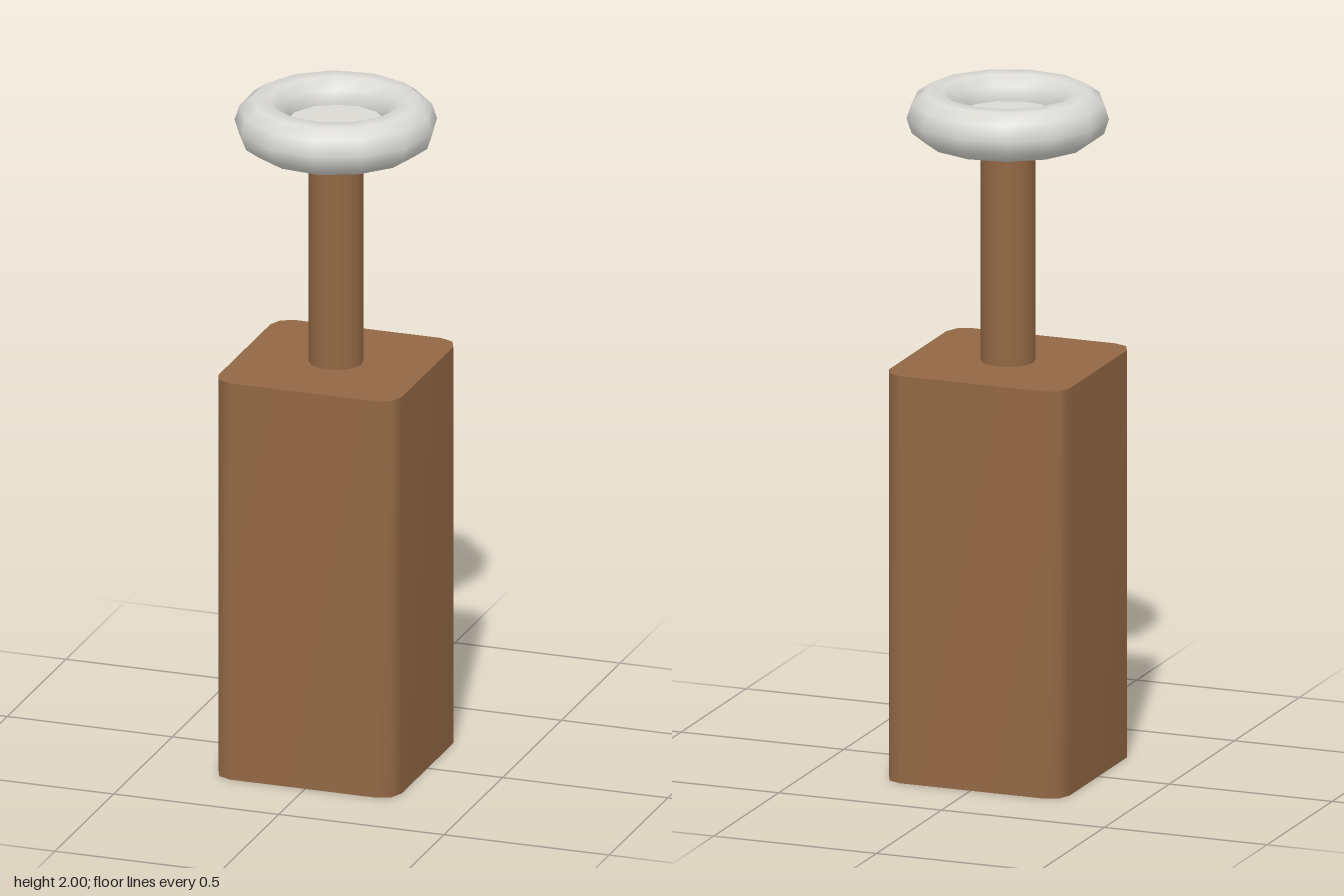
import * as THREE from 'three';
import { mergeVertices } from 'three/addons/utils/BufferGeometryUtils.js';

const AXIS_X = -0.0045; // shared centre line of all parts

// Square outline with rounded corners, two segments per corner
function roundedSquare(half, radius) {
  const points = [];
  for (let q = 0; q < 4; q++) {
    const mid = (q + 0.5) * Math.PI / 2;
    const cx = Math.sign(Math.sin(mid)) * (half - radius);
    const cz = Math.sign(Math.cos(mid)) * (half - radius);
    for (let j = 0; j < 3; j++) {
      const a = (q + j / 2) * Math.PI / 2;
      points.push(new THREE.Vector2(cx + radius * Math.sin(a), cz + radius * Math.cos(a)));
    }
  }
  return points;
}

// Open tube whose rings follow the outline, with smooth walls
function wallGeometry(outline, height) {
  const n = outline.length;
  const tube = new THREE.CylinderGeometry(1, 1, height, n, 1, true);
  const pos = tube.attributes.position;
  for (let i = 0; i < pos.count; i++) {
    const p = outline[(i % (n + 1)) % n];
    pos.setX(i, p.x);
    pos.setZ(i, p.y);
  }
  tube.deleteAttribute('normal');
  tube.deleteAttribute('uv');
  const walls = mergeVertices(tube);
  walls.computeVertexNormals();
  return walls;
}

export function createModel() {
  const model = new THREE.Group();
  model.name = 'handledBlock';

  const wood = new THREE.MeshStandardMaterial({ color: 0x936845, side: THREE.DoubleSide });
  wood.name = 'brown wood';
  const grey = new THREE.MeshStandardMaterial({ color: 0xdad9d4 });
  grey.name = 'pale grey';

  const add = (name, geometry, material, y) => {
    const mesh = new THREE.Mesh(geometry, material);
    mesh.name = name;
    mesh.position.set(AXIS_X, y, 0);
    model.add(mesh);
    return mesh;
  };

  // Hollow block, open underneath
  const blockHeight = 1.205;
  const outline = roundedSquare(0.277, 0.057);
  add('blockWalls', wallGeometry(outline, blockHeight), wood, blockHeight / 2);
  const top = new THREE.ShapeGeometry(new THREE.Shape(outline));
  top.rotateX(-Math.PI / 2);
  add('blockTop', top, wood, blockHeight);

  // Shaft
  const shaftTop = 1.882;
  add('shaft', new THREE.CylinderGeometry(0.078, 0.078, shaftTop - blockHeight, 16, 1, true),
    wood, (shaftTop + blockHeight) / 2);

  // Ring handle with a filled centre
  const ring = new THREE.TorusGeometry(0.2155, 0.0755, 10, 13);
  ring.rotateX(-Math.PI / 2);
  add('ringHandle', ring, grey, 1.928);
  add('handleDisc', new THREE.CylinderGeometry(0.16, 0.16, 0.05, 24), grey, 1.907);

  return model;
}
